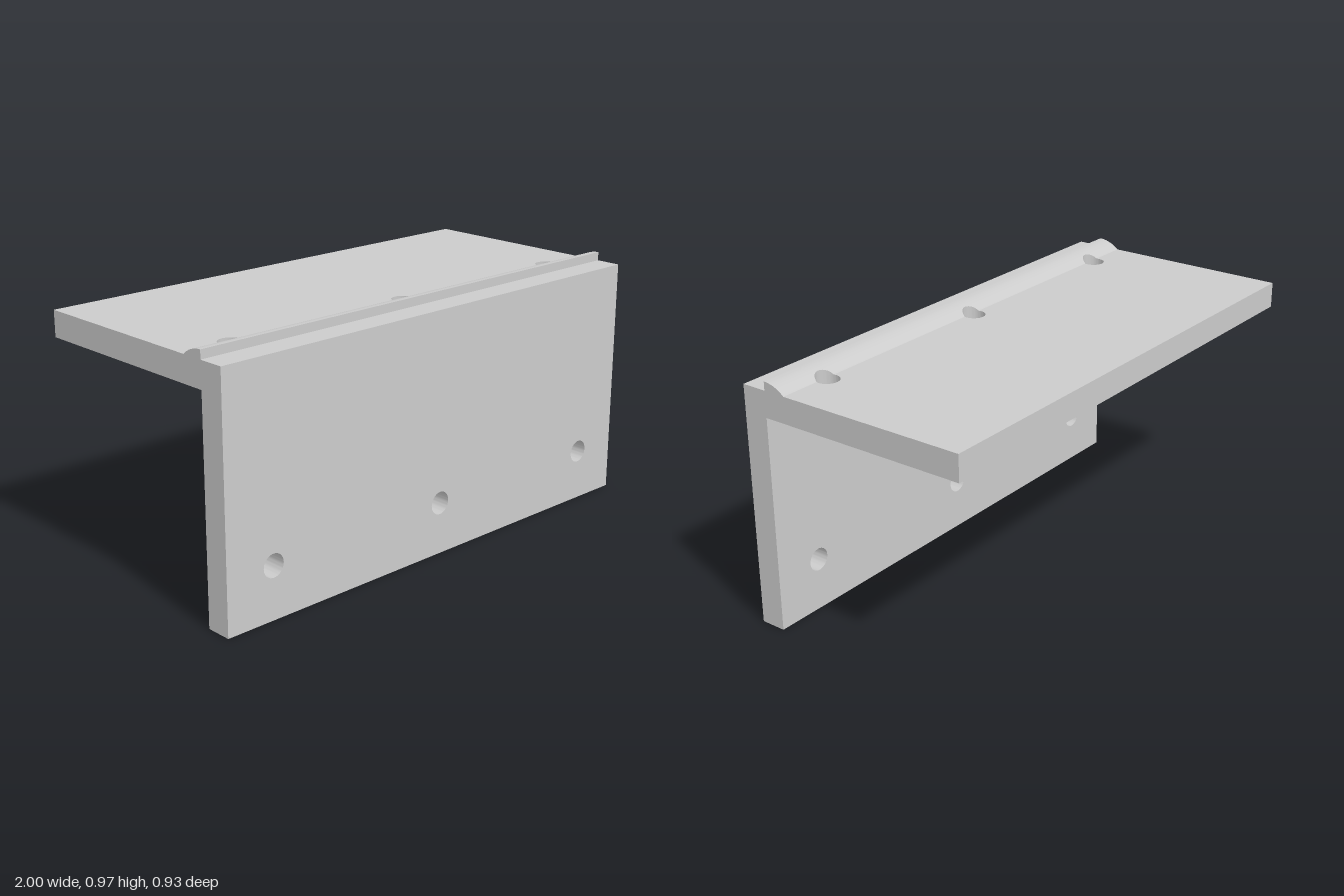
import * as THREE from 'three';
import { toCreasedNormals } from 'three/addons/utils/BufferGeometryUtils.js';

const W = 1, T = 0.1, H = 0.9333, FRONT = 0.4667, BACK = -0.4667;
const INNER = FRONT - T;            // back face of the upright leg
const HOLE_R = 0.0437, HOLE_X = [-0.8, 0, 0.8], HOLE_Y = 0.2, HOLE_Z = 0.2667;
const RIDGE_R = 0.1333;             // ridge arc, centred on the inner corner
const RIDGE_BACK = INNER - Math.sqrt(RIDGE_R ** 2 - T ** 2);

const material = new THREE.MeshStandardMaterial({ color: 0xcccccc });

// Rectangular plate with a row of three round holes, extruded by its thickness
function drilledPlate(y0, y1, holeY) {
  const shape = new THREE.Shape([[-W, y0], [W, y0], [W, y1], [-W, y1]].map(p => new THREE.Vector2(...p)));
  for (const x of HOLE_X) shape.holes.push(new THREE.Path().absarc(x, holeY, HOLE_R, 0, Math.PI * 2, true));
  return toCreasedNormals(
    new THREE.ExtrudeGeometry(shape, { depth: T, bevelEnabled: false, curveSegments: 24 }), 0.6);
}

// Rounded ridge lofted along x, its back edge notched where the holes pass through
function ridgeGeometry() {
  const columns = [[-W, RIDGE_BACK]];
  const a0 = Math.asin((RIDGE_BACK - HOLE_Z) / HOLE_R), N = 20, M = 12;
  for (const x of HOLE_X) {
    for (let i = 0; i <= N; i++) {
      const a = Math.PI - a0 - (Math.PI - 2 * a0) * i / N;
      columns.push([x + HOLE_R * Math.cos(a), HOLE_Z + HOLE_R * Math.sin(a)]);
    }
  }
  columns.push([W, RIDGE_BACK]);

  const pos = [], index = [], n = M + 3;
  for (const [x, zs] of columns) {
    pos.push(x, H, zs);
    for (let j = 0; j <= M; j++) {
      const z = zs + (INNER - zs) * j / M;
      pos.push(x, H - T + Math.sqrt(RIDGE_R ** 2 - (INNER - z) ** 2), z);
    }
    pos.push(x, H, INNER);
  }
  for (let i = 0; i < columns.length - 1; i++) {
    for (let j = 0; j < n - 1; j++) {
      const a = i * n + j, b = a + n;
      index.push(a, a + 1, b + 1, a, b + 1, b);
    }
  }
  // end caps
  const e = (columns.length - 1) * n;
  for (let j = 1; j < n - 1; j++) index.push(0, j + 1, j, e, e + j, e + j + 1);

  const g = new THREE.BufferGeometry();
  g.setAttribute('position', new THREE.Float32BufferAttribute(pos, 3));
  g.setIndex(index);
  return toCreasedNormals(g, 0.4);
}

export function createModel() {
  const group = new THREE.Group();
  group.name = 'angleBracket';
  const add = (name, geometry) => {
    const mesh = new THREE.Mesh(geometry, material);
    mesh.name = name;
    group.add(mesh);
    return mesh;
  };

  // upright leg
  add('frontPlate', drilledPlate(0, H, HOLE_Y)).position.z = INNER;

  // horizontal leg, laid flat behind the upright
  const top = add('topPlate', drilledPlate(-INNER, -BACK, -HOLE_Z));
  top.rotation.x = -Math.PI / 2;
  top.position.y = H - T;

  // raised locating ridge
  add('ridge', ridgeGeometry());
  return group;
}
